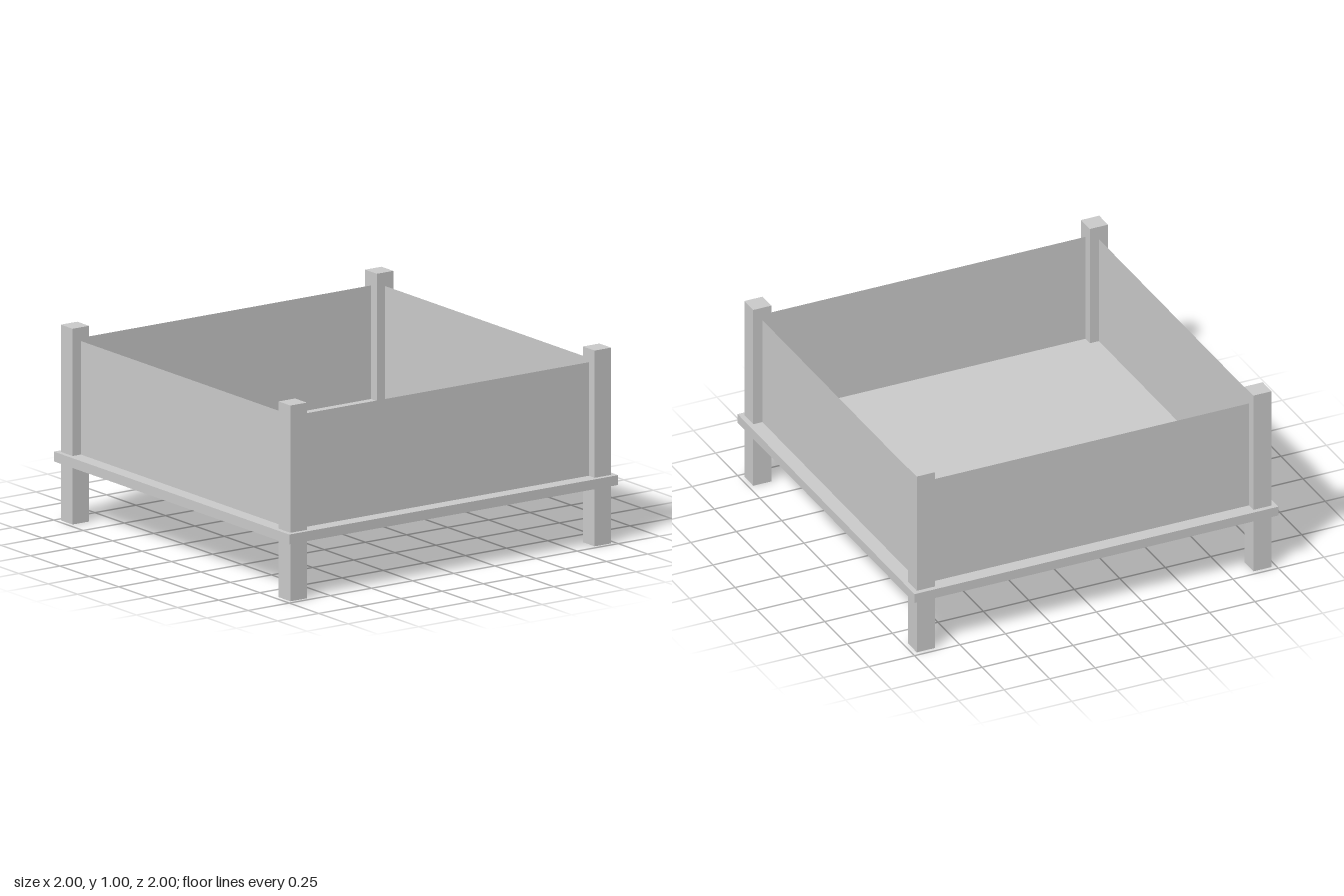
import * as THREE from 'three';

const material = new THREE.MeshStandardMaterial({ color: 0xcccccc, flatShading: true });
const thinMaterial = new THREE.MeshStandardMaterial({ color: 0xcccccc, flatShading: true, side: THREE.DoubleSide });

const POST = 0.1;          // post width
const CENTRE = 0.925;      // post and panel distance from the middle
const FLOOR_BOTTOM = 0.3;
const FLOOR_TOP = 0.35;
const PANEL_TOP = 0.93;

function addMesh(parent, name, geometry, mat) {
  const mesh = new THREE.Mesh(geometry, mat);
  mesh.name = name;
  parent.add(mesh);
  return mesh;
}

// Square post, hollow and open at the foot
function createPostGeometry() {
  const geometry = new THREE.BoxGeometry(POST, 1, POST);
  const index = Array.from(geometry.index.array);
  index.splice(18, 6); // drop the bottom face
  geometry.setIndex(index);
  geometry.clearGroups();
  return geometry.translate(0, 0.5, 0);
}

export function createModel() {
  const model = new THREE.Group();
  model.name = 'raisedBed';

  // Floor slab
  const floor = addMesh(model, 'floor', new THREE.BoxGeometry(2, FLOOR_TOP - FLOOR_BOTTOM, 2), material);
  floor.position.y = (FLOOR_BOTTOM + FLOOR_TOP) / 2;

  // Corner posts
  const postGeometry = createPostGeometry();
  for (const [side, x] of [['Left', CENTRE], ['Right', -CENTRE]]) {
    for (const [end, z] of [['front', CENTRE], ['back', -CENTRE]]) {
      addMesh(model, `${end}${side}Post`, postGeometry, thinMaterial).position.set(x, 0, z);
    }
  }

  // Thin side panels between the posts
  const panelGeometry = new THREE.PlaneGeometry(2 * CENTRE - POST, PANEL_TOP - FLOOR_TOP)
    .translate(0, (PANEL_TOP + FLOOR_TOP) / 2, CENTRE);
  ['front', 'left', 'back', 'right'].forEach((name, i) => {
    addMesh(model, `${name}Panel`, panelGeometry, thinMaterial).rotation.y = i * Math.PI / 2;
  });

  return model;
}
